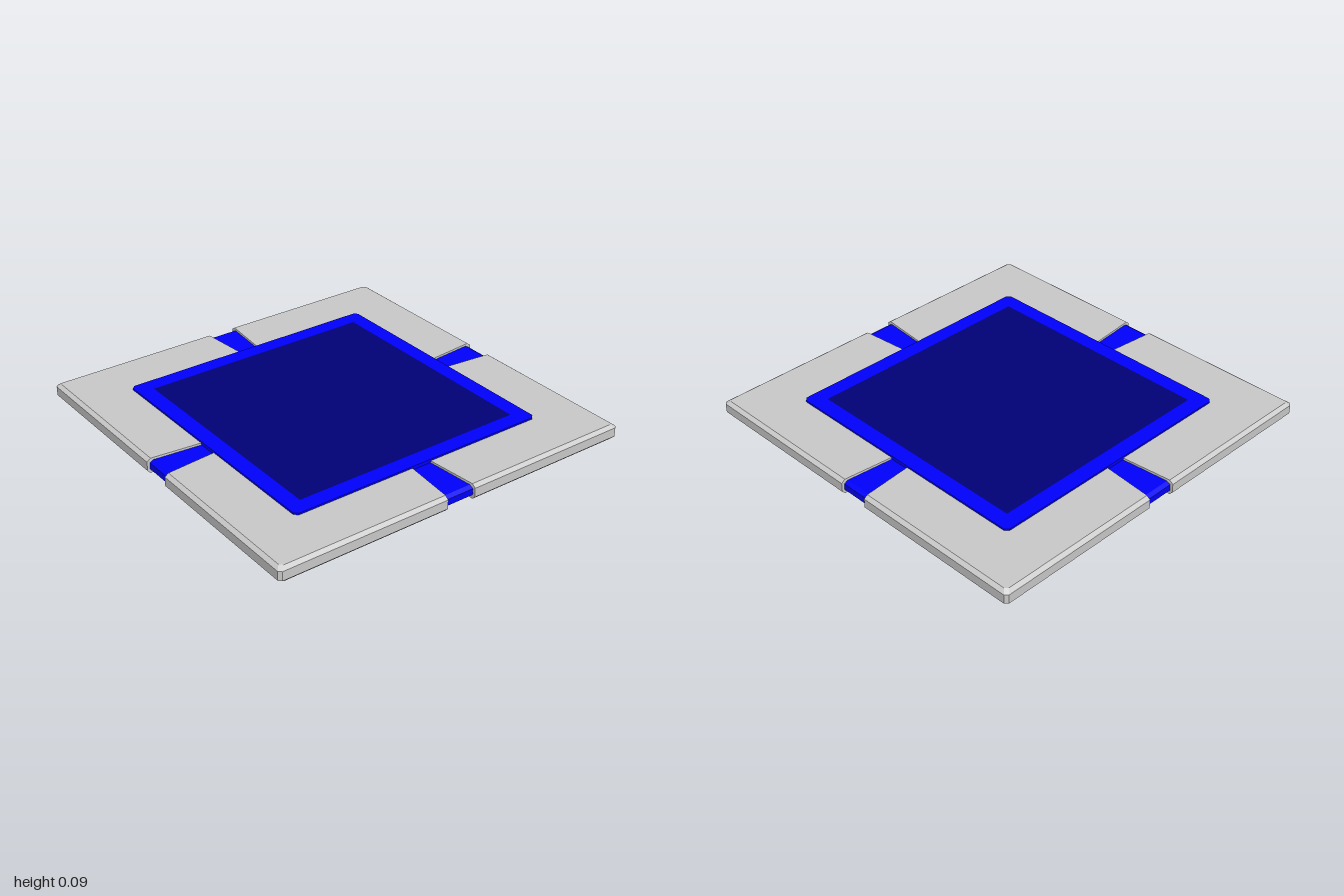
import * as THREE from 'three';

const grey = new THREE.MeshStandardMaterial({ color: 0xcccccc });
const blue = new THREE.MeshStandardMaterial({ color: 0x0000ff });
const navy = new THREE.MeshStandardMaterial({ color: 0x000078 });

function add(parent, name, geometry, material) {
  const mesh = new THREE.Mesh(geometry, material);
  mesh.name = name;
  parent.add(mesh);
  return mesh;
}

// Outline of a corner tile: a = channel half width at the middle, o = outer edge
function tileRing(y, a, o) {
  const b = 0.08, c = 0.015, r = 0.72;
  return [[a, a], [a, r], [b, o], [o - c, o], [o, o - c], [o, b], [r, a]]
    .map(([x, z]) => new THREE.Vector3(x, y, z));
}

// Joins convex rings, bottom to top, and caps both ends with flat faces
function loft(rings) {
  const points = [];
  const tri = (...corners) => points.push(...corners);
  const n = rings[0].length;
  for (let k = 0; k + 1 < rings.length; k++) {
    const low = rings[k], high = rings[k + 1];
    for (let i = 0; i < n; i++) {
      const j = (i + 1) % n;
      tri(low[i], low[j], high[j]);
      tri(low[i], high[j], high[i]);
    }
  }
  const bottom = rings[0], top = rings[rings.length - 1];
  for (let i = 1; i + 1 < n; i++) {
    tri(top[0], top[i], top[i + 1]);
    tri(bottom[0], bottom[i + 1], bottom[i]);
  }
  const geometry = new THREE.BufferGeometry().setFromPoints(points);
  geometry.computeVertexNormals();
  return geometry;
}

// Square outline with cut corners
function cutSquare(h, c) {
  return new THREE.Shape([
    [h - c, -h], [h, c - h], [h, h - c], [h - c, h],
    [c - h, h], [-h, h - c], [-h, c - h], [c - h, -h],
  ].map(([x, y]) => new THREE.Vector2(x, y)));
}

export function createModel() {
  const model = new THREE.Group();
  model.name = 'squareTile';

  // Bevelled corner tiles: straight channel below, tapered channel above
  const tile = loft([
    tileRing(0, 0.08, 0.985),
    tileRing(0.016, 0.08, 1),
    tileRing(0.04, 0.08, 1),
    tileRing(0.04, 0.055, 1),
    tileRing(0.064, 0.055, 1),
    tileRing(0.079, 0.055, 0.98),
  ]);
  for (let i = 0; i < 4; i++) {
    add(model, 'cornerTile', tile, grey).rotation.y = i * Math.PI / 2;
  }

  // Crossed bars recessed in the channels, with bevelled ends
  const e = 0.986, c = 0.02;
  const profile = new THREE.Shape([
    [c - e, 0.01], [e - c, 0.01], [e, 0.022], [e, 0.056],
    [e - c, 0.068], [c - e, 0.068], [-e, 0.056], [-e, 0.022],
  ].map(([x, y]) => new THREE.Vector2(x, y)));
  const bar = new THREE.ExtrudeGeometry(profile, { depth: 0.16, bevelEnabled: false });
  bar.translate(0, 0, -0.08);
  for (let i = 0; i < 2; i++) {
    add(model, 'crossBar', bar, blue).rotation.y = i * Math.PI / 2;
  }

  // Raised frame around the middle panel
  const outline = cutSquare(0.717, 0.018);
  outline.holes.push(cutSquare(0.633, 0.001));
  const frame = new THREE.ExtrudeGeometry(outline, { depth: 0.018, bevelEnabled: false });
  frame.rotateX(-Math.PI / 2);
  add(model, 'frame', frame, blue).position.y = 0.07;

  // Dark panel filling the frame
  add(model, 'panel', new THREE.BoxGeometry(1.266, 0.018, 1.266), navy).position.y = 0.079;

  return model;
}
